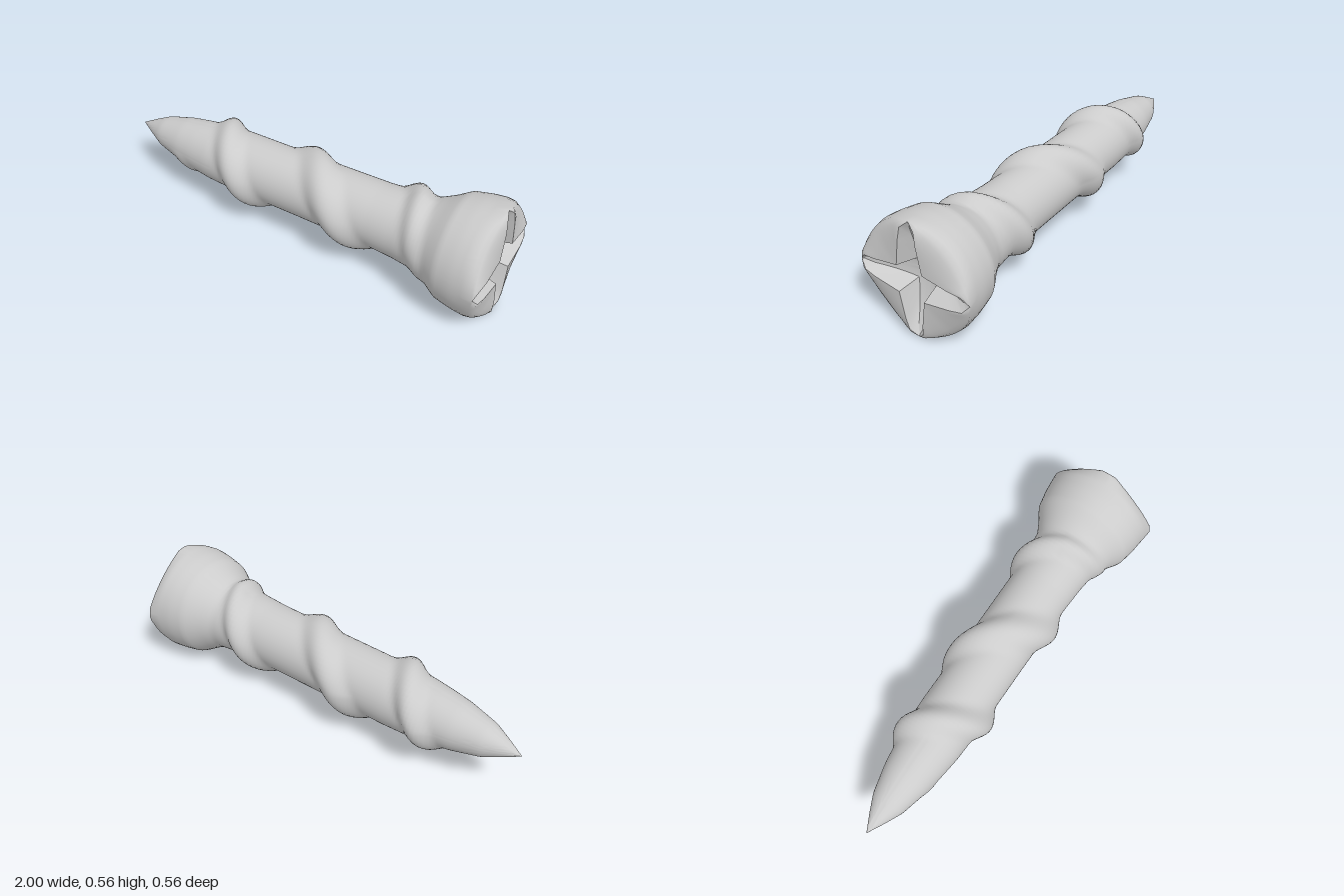
import * as THREE from 'three';
import { toCreasedNormals } from 'three/addons/utils/BufferGeometryUtils.js';

const AXIS_Y = 0.28;
const RAD = Math.PI / 180;

// angles around the screw axis (0 = up, 90 = front), denser near the four slot ends
const EIGHTH = [0, 4, 8, 13, 18, 24, 31, 38];
const ANGLES = [];
for (let q = 0; q < 4; q++) {
  for (const a of EIGHTH) ANGLES.push(q * 90 + a);
  for (const a of [45, ...EIGHTH.slice(1).reverse().map((v) => 90 - v)]) ANGLES.push(q * 90 + a);
}

// linear interpolation in a list of [position, value] pairs
function sample(points, x) {
  if (x <= points[0][0]) return points[0][1];
  for (let i = 1; i < points.length; i++) {
    const [x0, v0] = points[i - 1], [x1, v1] = points[i];
    if (x <= x1) return v0 + ((v1 - v0) * (x - x0)) / (x1 - x0);
  }
  return points[points.length - 1][1];
}

// plain radius from tip to head
const PROFILE = [[-1, 0], [-0.92, 0.042], [-0.84, 0.08], [-0.7, 0.115], [-0.6, 0.13], [-0.5, 0.142],
  [-0.36, 0.148], [0, 0.149], [0.4, 0.153], [0.53, 0.16], [0.65, 0.174], [0.71, 0.204],
  [0.78, 0.248], [0.86, 0.264], [0.92, 0.27]];

// thread crest: position, height and half width for each quarter turn
const CREST = [-0.69, -0.62, -0.55, -0.43, -0.31, -0.21, -0.11, 0.08, 0.23, 0.36, 0.47, 0.59, 0.65, 0.69]
  .map((x, i) => [i - 1, x]);
const HEIGHT = [[-1, 0], [0, 0.025], [1, 0.04], [2, 0.043], [9, 0.042], [10, 0.038], [11, 0.022], [12, 0]];
const WIDTH = [[-1, 0.06], [1, 0.085], [2, 0.1], [6, 0.13], [8, 0.12], [10, 0.075], [12, 0.05]];

function thread(x, deg) {
  let best = 0;
  for (let k = deg / 90 - 6; k <= 12; k += 4) {
    if (k < -1) continue;
    const u = (x - sample(CREST, k)) / sample(WIDTH, k);
    if (Math.abs(u) < 1) best = Math.max(best, sample(HEIGHT, k) * (1 - u * u) ** 2);
  }
  return best;
}

// radius of a four-pointed star: inner corner (a, a), knee (b, w), point (c, 0)
function starRadius(deg, a, b, w, c) {
  const m = deg % 90;
  const phi = Math.min(m, 90 - m) * RAD;
  const [p, q] = phi < Math.atan2(w, b) ? [[c, 0], [b, w]] : [[b, w], [a, a]];
  const e = [q[0] - p[0], q[1] - p[1]];
  return (p[0] * e[1] - p[1] * e[0]) / (Math.cos(phi) * e[1] - Math.sin(phi) * e[0]);
}

// skin a list of loops; each loop maps an angle to [x, radius]
function loft(loops, creaseDeg) {
  const pos = [], index = [], n = ANGLES.length;
  for (const loop of loops) {
    for (const deg of ANGLES) {
      const [x, r] = loop(deg);
      pos.push(x, AXIS_Y + r * Math.cos(deg * RAD), r * Math.sin(deg * RAD));
    }
  }
  for (let i = 0; i < loops.length - 1; i++) {
    for (let j = 0; j < n; j++) {
      const a = i * n + j, b = i * n + ((j + 1) % n);
      index.push(a, b, a + n, b, b + n, a + n);
    }
  }
  const geo = new THREE.BufferGeometry();
  geo.setAttribute('position', new THREE.Float32BufferAttribute(pos, 3));
  geo.setIndex(index);
  return toCreasedNormals(geo, creaseDeg * RAD);
}

export function createModel() {
  const group = new THREE.Group();
  const material = new THREE.MeshStandardMaterial({ color: 0xcccccc, side: THREE.DoubleSide });
  const add = (name, geo) => {
    const mesh = new THREE.Mesh(geo, material);
    mesh.name = name;
    group.add(mesh);
  };

  // pointed shaft with its thread, flaring into the head
  const lobe = (deg) => Math.abs(Math.sin(2 * deg * RAD));
  const body = [];
  const RINGS = 112;
  for (let i = 0; i <= RINGS; i++) {
    const x = -1 + (1.92 * i) / RINGS;
    body.push((deg) => [x, sample(PROFILE, x) + thread(x, deg)]);
  }

  // four rounded lobes from the rim to the slot edge
  const edge = (deg) => [0.98 + 0.02 * Math.min(1, 2.5 * lobe(deg)), starRadius(deg, 0.065, 0.25, 0.035, 0.28)];
  const rim = (deg) => [0.98 - 0.03 * lobe(deg), 0.28 - 0.015 * lobe(deg)];
  for (const t of [0, 0.08, 0.2, 0.35, 0.55, 0.78, 1]) {
    body.push((deg) => {
      const [x0, r0] = rim(deg), [x1, r1] = edge(deg);
      return [x0 + (x1 - x0) * Math.sqrt(1 - (1 - t) ** 2), r0 + (r1 - r0) * t];
    });
  }
  add('threadedShaftAndHead', loft(body, 50));

  // cross-shaped recess, deepest in the middle
  const floor = (s) => (deg) => {
    const r = s * starRadius(deg, 0.047, 0.24, 0.015, 0.272);
    return [0.89 + 0.085 * (r / 0.272) ** 1.5, r];
  };
  add('driveRecess', loft([edge, floor(1), floor(0.75), floor(0.5), floor(0.25), floor(0)], 35));

  return group;
}
